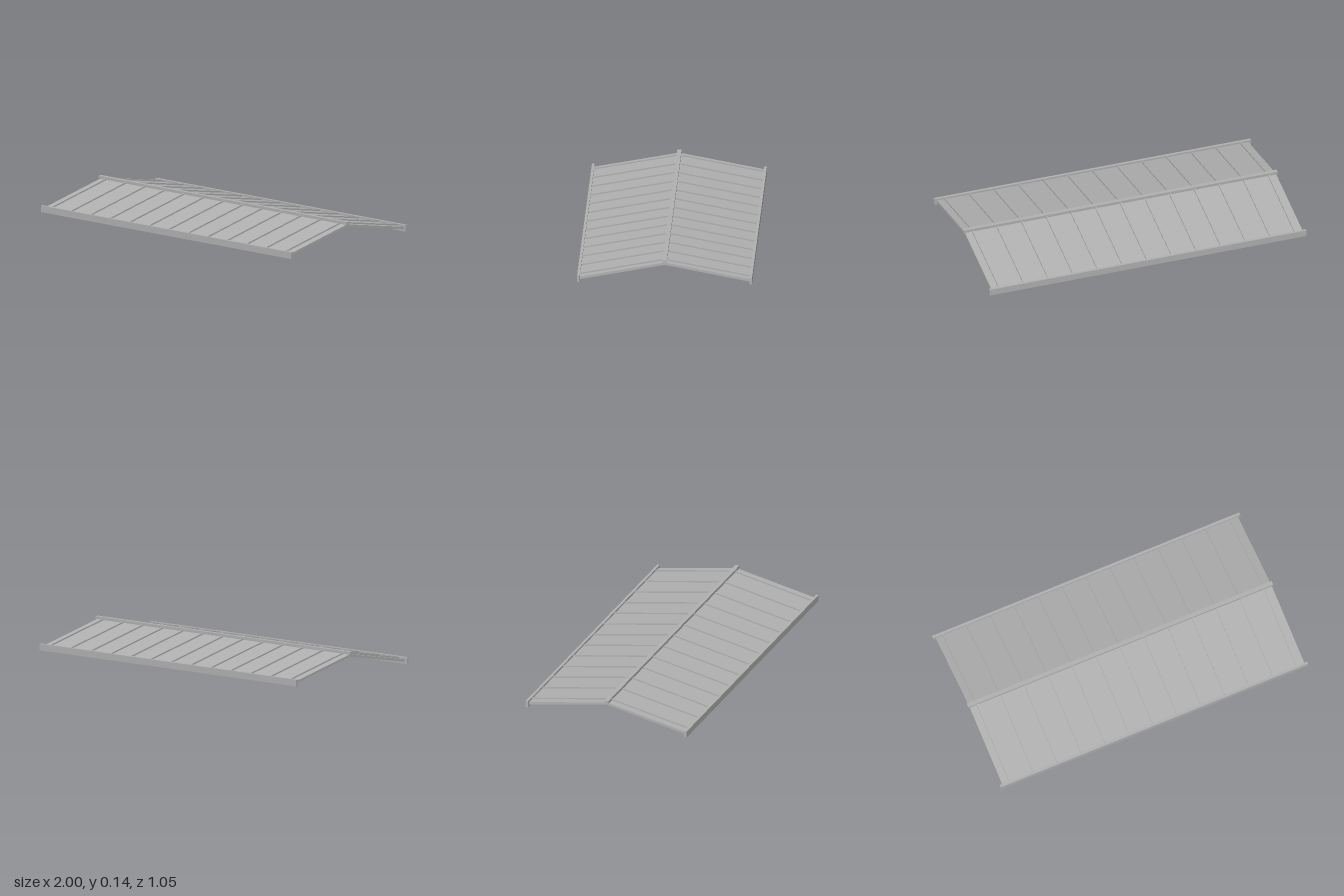
import * as THREE from 'three';

// Heights of the roof surfaces at the ridge (z = 0) and at the eaves (z = EAVE)
const EAVE = 0.512;
const UNDER = { ridge: 0.11, eave: 0.011 };
const SHEET = { ridge: 0.125, eave: 0.027 };
const SEAM = { ridge: 0.134, eave: 0.036 };

export function createModel() {
  const model = new THREE.Group();
  model.name = 'gableRoof';
  const metal = new THREE.MeshStandardMaterial({ color: 0xb0b0b0 });
  metal.name = 'greyMetal';

  function add(name, geometry, x = 0, y = 0, z = 0) {
    const mesh = new THREE.Mesh(geometry, metal);
    mesh.name = name;
    mesh.position.set(x, y, z);
    model.add(mesh);
  }

  // Chevron cross-section between two roof surfaces, extruded along x
  function chevron(bottom, top, width) {
    const shape = new THREE.Shape([
      [-EAVE, bottom.eave], [0, bottom.ridge], [EAVE, bottom.eave],
      [EAVE, top.eave], [0, top.ridge], [-EAVE, top.eave],
    ].map(([z, y]) => new THREE.Vector2(z, y)));
    return new THREE.ExtrudeGeometry(shape, { depth: width, bevelEnabled: false })
      .translate(0, 0, -width / 2)
      .rotateY(Math.PI / 2);
  }

  // Roof sheet and its thirteen standing seams
  add('roofSheet', chevron(UNDER, SHEET, 1.966));
  const seam = chevron({ ridge: 0.12, eave: 0.022 }, SEAM, 0.009);
  for (let i = -6; i <= 6; i++) add('standingSeam', seam, i * 0.1557);

  // Ridge cap
  add('ridgeCap', new THREE.BoxGeometry(1.984, 0.017, 0.026), 0, 0.1325, 0);

  // Eave boards along the front and back
  const board = new THREE.BoxGeometry(2, 0.04, 0.016);
  for (const side of [1, -1]) add(side > 0 ? 'frontEaveBoard' : 'backEaveBoard', board, 0, 0.02, side * 0.516);

  return model;
}
